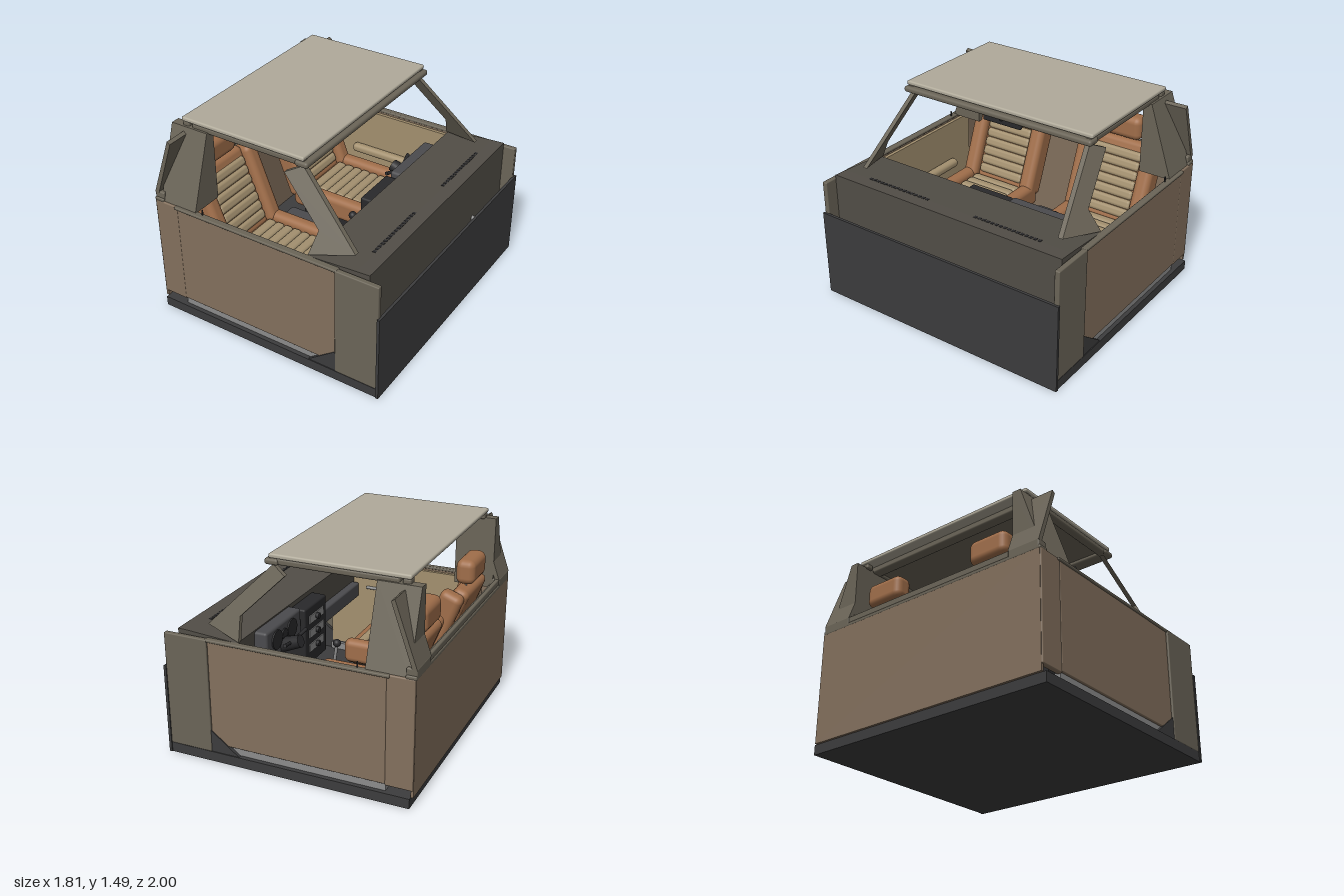
import * as THREE from 'three';
import { RoundedBoxGeometry } from 'three/addons/geometries/RoundedBoxGeometry.js';
import { ConvexGeometry } from 'three/addons/geometries/ConvexGeometry.js';

const mat = (color) => new THREE.MeshStandardMaterial({ color });
const M = {
  paint: mat(0x83705d), trim: mat(0x6b6558), roof: mat(0xb0aa9a), dark: mat(0x3c3c3d), dash: mat(0x524e47),
  black: mat(0x29292b), leather: mat(0xa06e4a), pleat: mat(0xa3906f), steel: mat(0x8c8c8c), panel: mat(0x4b4b4e),
};

function add(parent, name, geo, material) {
  const mesh = new THREE.Mesh(geo, material);
  mesh.name = name;
  parent.add(mesh);
  return mesh;
}

// Box from its limits on each axis, optionally rounded
function box(parent, name, material, [x0, x1], [y0, y1], [z0, z1], r = 0) {
  const w = x1 - x0, h = y1 - y0, d = z1 - z0;
  const geo = r ? new RoundedBoxGeometry(w, h, d, 3, r) : new THREE.BoxGeometry(w, h, d);
  const mesh = add(parent, name, geo, material);
  mesh.position.set((x0 + x1) / 2, (y0 + y1) / 2, (z0 + z1) / 2);
  return mesh;
}

// Same box on side s (+1 or -1) of the centre line
const sideBox = (parent, name, material, xs, ys, [a, b], s, r) =>
  box(parent, name, material, xs, ys, s > 0 ? [a, b] : [-b, -a], r);

// Round bar between two points
function rod(parent, name, material, a, b, r0, r1 = r0) {
  const p = new THREE.Vector3(...a), q = new THREE.Vector3(...b);
  const mesh = add(parent, name, new THREE.CylinderGeometry(r1, r0, p.distanceTo(q), 16), material);
  mesh.position.copy(p).add(q).multiplyScalar(0.5);
  mesh.quaternion.setFromUnitVectors(new THREE.Vector3(0, 1, 0), q.sub(p).normalize());
  return mesh;
}

// Side profile in x and y, extruded along z and centred on z = 0
function extrude(points, depth) {
  const shape = new THREE.Shape(points.map(([x, y]) => new THREE.Vector2(x, y)));
  return new THREE.ExtrudeGeometry(shape, { depth, bevelEnabled: false }).translate(0, 0, -depth / 2);
}

function buildSide(g, s) {
  const name = s > 0 ? 'right' : 'left';
  const side = new THREE.Group();
  side.name = name + 'Side';
  g.add(side);

  // Door skin, inner card, window rail, armrest and lock pin
  sideBox(side, 'doorSkin', M.paint, [-0.71, 0.565], [0.13, 0.89], [0.95, 0.98], s, 0.008);
  sideBox(side, 'doorCard', M.pleat, [-0.69, 0.55], [0.14, 0.87], [0.925, 0.951], s);
  sideBox(side, 'windowRail', M.trim, [-0.73, 0.58], [0.885, 0.907], [0.94, 0.99], s, 0.008);
  sideBox(side, 'armrest', M.pleat, [-0.47, 0.03], [0.5, 0.57], [0.86, 0.93], s, 0.03);
  rod(side, 'lockPin', M.black, [-0.505, 0.9, 0.955 * s], [-0.505, 0.945, 0.955 * s], 0.006);
  rod(side, 'doorPull', M.steel, [0.1, 0.66, 0.915 * s], [0.24, 0.66, 0.915 * s], 0.012);

  // Panels ahead of and behind the door
  sideBox(side, 'cowlPanel', M.trim, [0.565, 0.89], [0.07, 0.905], [0.955, 0.993], s, 0.008);
  sideBox(side, 'quarterPanel', M.paint, [-0.9, -0.705], [0.12, 0.905], [0.94, 0.978], s, 0.01);
  sideBox(side, 'sill', M.steel, [-0.71, 0.55], [0.075, 0.13], [0.9, 0.965], s);
  const arch = add(side, 'footwellCorner', extrude([[0.35, 0.07], [0.89, 0.07], [0.89, 0.48]], 0.06), M.dark);
  arch.position.z = 0.957 * s;

  // Windscreen pillar: flat profile leaned inwards by shearing
  const pillar = extrude([[0.07, 1.36], [0.34, 0.91], [0.63, 0.955], [0.18, 1.41]].toSpliced(1, 0, [0.37, 1.06]), 0.035);
  const p = pillar.attributes.position;
  for (let i = 0; i < p.count; i++) {
    p.setZ(i, p.getZ(i) + s * (1.49 - 0.2925 * p.getX(i) - 0.5035 * p.getY(i)));
  }
  pillar.computeVertexNormals();
  add(side, 'windscreenPillar', pillar, M.trim);

  // Rear pillar wedge with its slanted back plate
  const pts = [];
  for (const x of [-0.855, -0.56]) {
    for (const [y, z] of [[0.9, 0.72], [0.9, 0.965], [1.43, 0.72], [1.43, 0.785]]) pts.push(new THREE.Vector3(x, y, z * s));
  }
  add(side, 'rearPillar', new ConvexGeometry(pts), M.trim);
  const fin = add(side, 'rearPillarPlate',
    extrude([[-0.905, 0.96], [-0.875, 0.95], [-0.725, 1.385], [-0.75, 1.4]], 0.245), M.trim);
  fin.position.z = 0.8425 * s;
  sideBox(side, 'rearPillarFoot', M.trim, [-0.905, -0.83], [0.9, 0.97], [0.72, 0.965], s, 0.01);
}

function buildRoof(g) {
  const roof = new THREE.Group();
  roof.name = 'roof';
  g.add(roof);
  box(roof, 'roofPanel', M.roof, [-0.78, 0.2], [1.458, 1.49], [-0.775, 0.775], 0.012);
  box(roof, 'headliner', M.trim, [-0.7, 0.15], [1.44, 1.46], [-0.74, 0.74]);
  for (const s of [1, -1]) {
    sideBox(roof, 'sideRail', M.trim, [-0.7, 0.2], [1.415, 1.46], [0.71, 0.77], s, 0.015);
    sideBox(roof, 'rearMount', M.trim, [-0.775, -0.72], [1.42, 1.46], [0.7, 0.77], s, 0.012);
  }
  box(roof, 'frontHeader', M.trim, [0.13, 0.23], [1.412, 1.455], [-0.78, 0.78], 0.018);
  box(roof, 'rearHeader', M.trim, [-0.7, -0.62], [1.415, 1.455], [-0.75, 0.75], 0.015);
  box(roof, 'mirror', M.black, [0.09, 0.125], [1.32, 1.395], [-0.16, 0.16], 0.015);
  rod(roof, 'mirrorStem', M.black, [0.12, 1.36, 0], [0.17, 1.43, 0], 0.012);
}

function buildSeat(g, z) {
  const seat = new THREE.Group();
  seat.name = 'seat';
  seat.position.z = z;
  g.add(seat);
  box(seat, 'seatBase', M.black, [-0.5, 0.05], [0.07, 0.33], [-0.25, 0.25]);

  // Cushion with crosswise pleats between two bolsters
  box(seat, 'cushion', M.leather, [-0.56, 0.12], [0.32, 0.47], [-0.28, 0.28], 0.05);
  for (let i = 0; i < 7; i++) {
    const x = -0.48 + i * 0.075;
    box(seat, 'cushionPleat', M.pleat, [x, x + 0.074], [0.43, 0.5], [-0.21, 0.21], 0.025);
  }
  for (const s of [1, -1]) sideBox(seat, 'cushionBolster', M.leather, [-0.56, 0.1], [0.35, 0.53], [0.22, 0.325], s, 0.045);

  // Reclined backrest, built upright from its lower hinge
  const back = new THREE.Group();
  back.name = 'backrest';
  back.position.set(-0.53, 0.43, 0);
  back.rotation.z = 0.37;
  seat.add(back);
  box(back, 'backShell', M.leather, [-0.07, 0.05], [0, 0.64], [-0.23, 0.23], 0.045);
  for (let i = 0; i < 7; i++) {
    const y = 0.06 + i * 0.072;
    box(back, 'backPleat', M.pleat, [0, 0.07], [y, y + 0.071], [-0.2, 0.2], 0.025);
  }
  for (const s of [1, -1]) sideBox(back, 'backBolster', M.leather, [-0.06, 0.11], [0, 0.62], [0.205, 0.325], s, 0.045);

  // Headrest on two posts
  box(seat, 'headrest', M.leather, [-0.83, -0.69], [1.04, 1.22], [-0.157, 0.157], 0.05);
  for (const s of [1, -1]) rod(seat, 'headrestPost', M.steel, [-0.76, 0.95, 0.1 * s], [-0.76, 1.08, 0.1 * s], 0.008);
}

function buildDash(g) {
  const dash = new THREE.Group();
  dash.name = 'dashboard';
  g.add(dash);
  const body = [[0.36, 0.6], [0.42, 0.56], [0.77, 0.56], [0.77, 0.08], [0.8, 0.08], [0.8, 0.935], [0.7, 0.93], [0.35, 0.905]];
  add(dash, 'dashBody', extrude(body, 1.9), M.dash);
  for (const s of [1, -1]) {
    for (let i = 0; i < 16; i++) {
      const z = s * (0.205 + i * 0.0338);
      box(dash, 'ventSlot', M.black, [0.678, 0.702], [0.92, 0.932], [z - 0.011, z + 0.011]);
    }
  }

  // Instrument cluster, centre stack and glove tray
  box(dash, 'instrumentCluster', M.panel, [0.26, 0.4], [0.66, 0.895], [-0.72, -0.21], 0.02);
  box(dash, 'centreStack', M.black, [0.24, 0.42], [0.42, 0.87], [-0.19, 0.16], 0.015);
  box(dash, 'gloveTray', M.panel, [0.3, 0.4], [0.58, 0.7], [0.2, 0.9], 0.015);
  const dials = [[-0.58, 0.07], [-0.36, 0.07], [-0.47, 0.04]];
  for (const [z, r] of dials) rod(dash, 'dial', M.black, [0.25, 0.8, z], [0.27, 0.8, z], r);
  for (let i = 0; i < 3; i++) {
    box(dash, 'controlPlate', M.steel, [0.232, 0.25], [0.52 + i * 0.11, 0.58 + i * 0.11], [-0.13, 0.1]);
    rod(dash, 'controlKnob', M.black, [0.21, 0.55 + i * 0.11, -0.015], [0.24, 0.55 + i * 0.11, -0.015], 0.022);
  }

  // Steering column with stalks and the shaft through the bulkhead
  rod(dash, 'steeringColumn', M.black, [0.13, 0.77, -0.475], [0.38, 0.68, -0.475], 0.045, 0.06);
  rod(dash, 'steeringShaft', M.steel, [0.36, 0.69, -0.49], [0.89, 0.5, -0.49], 0.018);
  for (const s of [1, -1]) rod(dash, 'stalk', M.black, [0.2, 0.75, -0.475], [0.17, 0.79, -0.475 + 0.16 * s], 0.01, 0.014);
  for (const z of [-0.62, -0.49, -0.36]) {
    rod(dash, 'pedalArm', M.black, [0.7, 0.5, z], [0.57, 0.22, z], 0.012);
    box(dash, 'pedal', M.black, [0.54, 0.57], [0.17, 0.25], [z - 0.04, z + 0.04]);
  }
}

export function createModel() {
  const g = new THREE.Group();
  g.name = 'vehicleCabin';

  // Floor, bulkhead and rear wall
  box(g, 'floor', M.dark, [-0.885, 0.9], [0, 0.072], [-0.993, 0.993]);
  box(g, 'bulkhead', M.dark, [0.885, 0.905], [0, 0.66], [-1, 1]);
  box(g, 'rearWall', M.paint, [-0.903, -0.885], [0.072, 0.9], [-0.97, 0.97]);
  box(g, 'rearRail', M.trim, [-0.905, -0.83], [0.895, 0.925], [-0.975, 0.975], 0.01);
  box(g, 'rearLip', M.trim, [-0.9, -0.87], [0.92, 0.97], [-0.75, 0.75], 0.01);

  // Tunnel and gear lever
  box(g, 'tunnel', M.panel, [-0.55, 0.78], [0.07, 0.36], [-0.13, 0.13], 0.03);
  box(g, 'gearPlate', M.steel, [0, 0.18], [0.35, 0.37], [-0.07, 0.07]);
  rod(g, 'gearLever', M.steel, [0.11, 0.35, 0], [0.08, 0.56, 0], 0.012);
  add(g, 'gearKnob', new THREE.SphereGeometry(0.03, 20, 14), M.black).position.set(0.08, 0.57, 0);

  for (const s of [1, -1]) {
    buildSide(g, s);
    buildSeat(g, 0.475 * s);
  }
  buildRoof(g);
  buildDash(g);
  return g;
}
